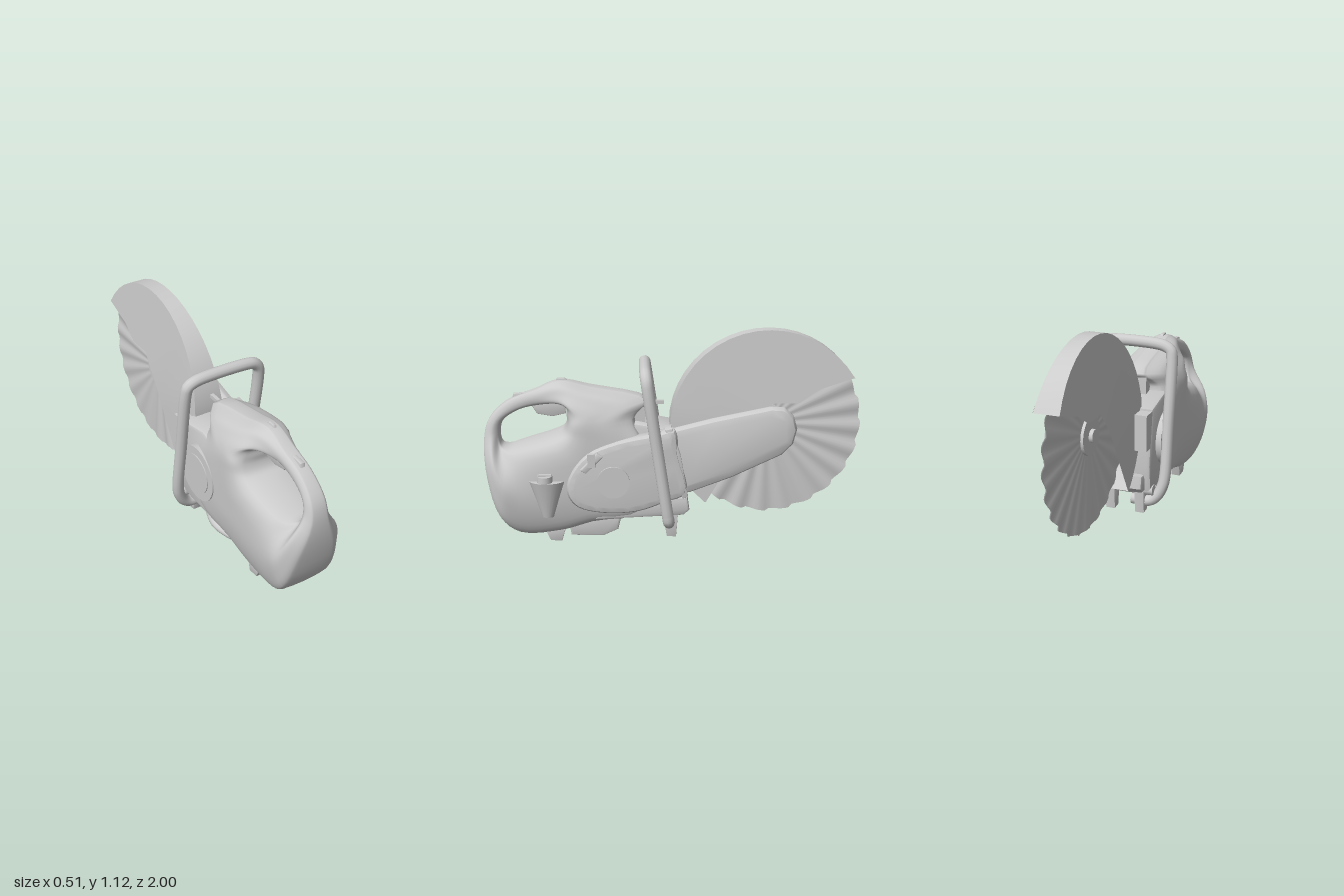
import * as THREE from 'three';
import { toCreasedNormals } from 'three/addons/utils/BufferGeometryUtils.js';

const grey = new THREE.MeshStandardMaterial({ color: 0xcccccc });
const greyThin = new THREE.MeshStandardMaterial({ color: 0xcccccc, side: THREE.DoubleSide });
const V = (x, y, z) => new THREE.Vector3(x, y, z);
const CX = -0.01; // centre plane of body and blade

// Skin a list of cross-sections
function loft(rings, closedI, closedJ) {
  const n = rings.length, m = rings[0].length, idx = [];
  for (let i = 0; i < (closedI ? n : n - 1); i++)
    for (let j = 0; j < (closedJ ? m : m - 1); j++) {
      const i2 = (i + 1) % n, j2 = (j + 1) % m;
      const a = i * m + j, b = i2 * m + j, c = i2 * m + j2, d = i * m + j2;
      idx.push(a, b, d, b, c, d);
    }
  const g = new THREE.BufferGeometry().setFromPoints(rings.flat());
  g.setIndex(idx);
  g.computeVertexNormals();
  return g;
}

// Extrude a [z, y] outline sideways from x0 to x1
function sidePlate(pts, x0, x1, bevel = 0.01, inset = bevel) {
  const shape = new THREE.Shape(pts.map(([z, y]) => new THREE.Vector2(-z, y)));
  const g = new THREE.ExtrudeGeometry(shape, {
    depth: x1 - x0 - 2 * bevel, bevelThickness: bevel, bevelSize: inset,
    bevelOffset: -inset, bevelSegments: 2,
  });
  g.rotateY(Math.PI / 2).translate(x0 + bevel, 0, 0);
  return toCreasedNormals(g, 0.6);
}

// Closed smooth outline through a few [z, y] points
function smooth(pts, n = 48) {
  const c = new THREE.CatmullRomCurve3(pts.map(([z, y]) => V(0, y, z)), true);
  return c.getPoints(n).slice(0, -1).map(p => [p.z, p.y]);
}

// Housing: a sleeve around the grip opening.
// Each station: hole z, y, outer z, y, half-widths at hole, middle and outer edge
function housingGeometry() {
  const stations = [
    [0.92, 0.58, 1.0, 0.55, 0.05, 0.07, 0.05],
    [0.90, 0.65, 0.97, 0.66, 0.045, 0.055, 0.04],
    [0.81, 0.71, 0.87, 0.755, 0.045, 0.05, 0.035],
    [0.70, 0.735, 0.73, 0.81, 0.05, 0.055, 0.035],
    [0.60, 0.745, 0.60, 0.86, 0.10, 0.09, 0.035],
    [0.56, 0.73, 0.44, 0.83, 0.14, 0.125, 0.045],
    [0.55, 0.69, 0.14, 0.755, 0.165, 0.15, 0.06],
    [0.55, 0.65, 0.21, 0.67, 0.175, 0.175, 0.12],
    [0.57, 0.60, 0.14, 0.50, 0.175, 0.18, 0.16],
    [0.62, 0.57, 0.16, 0.17, 0.175, 0.18, 0.15],
    [0.68, 0.55, 0.43, 0.11, 0.17, 0.182, 0.14],
    [0.75, 0.53, 0.60, 0.06, 0.165, 0.182, 0.13],
    [0.82, 0.51, 0.82, 0.05, 0.15, 0.182, 0.125],
    [0.87, 0.50, 0.92, 0.14, 0.12, 0.18, 0.14],
    [0.91, 0.52, 0.985, 0.35, 0.07, 0.145, 0.11],
  ];
  const sections = stations.map(([hz, hy, oz, oy, wi, wm, wo]) => {
    const at = (t, w) => V(CX + w, hy + (oy - hy) * t, hz + (oz - hz) * t);
    const side = [[0, wi * 0.7], [0.12, wi], [0.45, wm], [0.75, wm * 0.7 + wo * 0.3], [0.96, wo], [1, wo * 0.75]];
    const loop = [...side.map(([t, w]) => at(t, w)), ...side.reverse().map(([t, w]) => at(t, -w))];
    return new THREE.CatmullRomCurve3(loop, true).getPoints(48).slice(0, -1);
  });
  const rails = sections[0].map((_, j) =>
    new THREE.CatmullRomCurve3(sections.map(s => s[j]), true));
  const n = 60;
  const rings = [];
  for (let i = 0; i < n; i++) rings.push(rails.map(r => r.getPoint(i / n)));
  return loft(rings, true, true);
}

// Cutting disc with radial ripples and a notched rim
function discGeometry() {
  const rings = [], teeth = 24, steps = teeth * 6;
  for (let i = 0; i < steps; i++) {
    const a = (i / steps) * Math.PI * 2;
    const wave = 0.007 * Math.sin(a * teeth);
    const R = 0.5 - 0.012 * ((i % 6) / 5);
    const at = (r, x) => V(CX + x, 0.62 + r * Math.sin(a), -0.5 + r * Math.cos(a));
    rings.push([at(0.02, 0.005), at(0.12, 0.005), at(R, wave + 0.004),
      at(R, wave - 0.004), at(0.12, -0.005), at(0.02, -0.005)]);
  }
  return loft(rings, true, true);
}

// Hollow wheel guard: two cheeks joined by a rim, open below
function guardGeometry() {
  const path = new THREE.CurvePath();
  const edge = [[-0.95, 0.87], [-0.76, 0.81], [-0.66, 0.74], [-0.52, 0.74], [-0.42, 0.62], [-0.17, 0.2]];
  for (let i = 0; i < edge.length - 1; i++)
    path.add(new THREE.LineCurve3(V(0, edge[i][1], edge[i][0]), V(0, edge[i + 1][1], edge[i + 1][0])));
  const rings = [], n = 24;
  for (let i = 0; i <= n; i++) {
    const a = THREE.MathUtils.lerp(Math.PI - 0.54, -0.87, i / n);
    const outer = V(0, 0.6 + 0.522 * Math.sin(a), -0.5 + 0.522 * Math.cos(a));
    const inner = path.getPoint(i / n);
    const put = (p, s) => {
      const w = Math.min(0.083, 0.044 + 0.085 * Math.max(0, 1.12 - p.y));
      return V(CX + s * w, p.y, p.z);
    };
    const mid = inner.clone().lerp(outer, 0.6);
    rings.push([put(inner, -1), put(mid, -1), put(outer, -1), put(outer, 1), put(mid, 1), put(inner, 1)]);
  }
  return toCreasedNormals(loft(rings, false, false), 0.5);
}

export function createModel() {
  const model = new THREE.Group();
  const add = (name, geo, mat = grey) => {
    const m = new THREE.Mesh(geo, mat);
    m.name = name;
    model.add(m);
    return m;
  };
  const box = (name, x0, x1, y0, y1, z0, z1) =>
    add(name, new THREE.BoxGeometry(x1 - x0, y1 - y0, z1 - z0)
      .translate((x0 + x1) / 2, (y0 + y1) / 2, (z0 + z1) / 2));
  const axle = (name, r, x0, x1, y, z, sides = 32) =>
    add(name, new THREE.CylinderGeometry(r, r, x1 - x0, sides)
      .rotateZ(Math.PI / 2).translate((x0 + x1) / 2, y, z));
  const tube = (name, pts, r, n = 90, tension = 0.5) =>
    add(name, new THREE.TubeGeometry(new THREE.CatmullRomCurve3(pts, false, 'centripetal', tension), n, r, 12));

  add('housing', housingGeometry());

  // Engine block and base
  add('engineBlock', sidePlate([[0.45, 0.14], [-0.02, 0.15], [-0.04, 0.3], [0.0, 0.61], [0.2, 0.65], [0.45, 0.6]], -0.165, 0.11, 0.02));
  box('frontColumn', -0.07, 0.05, 0.58, 0.74, 0.15, 0.21);
  box('valveStem', -0.02, 0, 0.725, 0.745, 0.05, 0.16);
  axle('starterCover', 0.155, -0.195, -0.15, 0.4, 0.2);
  axle('starterHub', 0.11, -0.2, -0.18, 0.4, 0.2);
  add('baseBracket', sidePlate([[0.42, 0.13], [-0.05, 0.15], [-0.08, 0.18], [-0.07, 0.25], [0.4, 0.25]], -0.13, 0.14, 0.015));
  box('frontBracket', -0.16, -0.09, 0.4, 0.6, -0.08, 0.03);

  // Drive cover and cutting arm on the left side
  add('driveCover', sidePlate(smooth([[0.56, 0.29], [0.55, 0.38], [0.46, 0.5], [0.3, 0.57], [0.1, 0.61], [0.0, 0.63], [-0.02, 0.5],
    [-0.06, 0.29], [0.05, 0.24], [0.2, 0.19], [0.38, 0.185], [0.51, 0.22]]), 0.09, 0.2, 0.025, 0.035));
  add('cuttingArm', sidePlate([[0.04, 0.62], [-0.2, 0.68], [-0.5, 0.74], [-0.57, 0.735], [-0.62, 0.69], [-0.64, 0.62],
    [-0.62, 0.54], [-0.56, 0.48], [-0.3, 0.36], [-0.08, 0.28], [0.0, 0.27]], 0.085, 0.175, 0.04, 0.045));
  add('armSeam', sidePlate([[0.05, 0.635], [0.015, 0.64], [-0.03, 0.5], [-0.07, 0.27], [-0.04, 0.26], [0.0, 0.45]], 0.085, 0.19, 0.005));
  axle('clutchBoss', 0.085, 0.15, 0.213, 0.36, 0.32);
  add('tensionLever', sidePlate([[0.49, 0.43], [0.4, 0.52], [0.37, 0.5], [0.46, 0.41]], 0.17, 0.215, 0.006));
  box('leverTab', 0.207, 0.23, 0.45, 0.52, 0.41, 0.45);

  // Cutting disc, guard and flanges
  add('cuttingDisc', discGeometry());
  add('wheelGuard', guardGeometry(), greyThin);
  axle('discFlange', 0.1, -0.03, 0.015, 0.62, -0.5);
  axle('discSpindle', 0.035, -0.05, 0.12, 0.62, -0.5, 12);

  // Wraparound front handle, leaning with height
  const lean = (x, y) => V(x, y, 0.03 + (y - 0.12) * 0.148);
  tube('frontHandle', [
    [-0.04, 0.08], [-0.14, 0.08], [-0.18, 0.11], [-0.21, 0.17], [-0.22, 0.23], [-0.22, 0.5], [-0.218, 0.86], [-0.21, 0.9],
    [-0.18, 0.92], [-0.13, 0.93], [0.13, 0.93], [0.18, 0.92], [0.21, 0.89], [0.22, 0.84], [0.22, 0.5],
    [0.22, 0.18], [0.215, 0.145], [0.19, 0.13], [0.1, 0.13],
  ].map(([x, y]) => lean(x, y)), 0.031, 140);
  axle('handleMount', 0.03, -0.17, 0.13, 0.15, 0.01, 12);

  // Grip controls
  add('throttleTrigger', sidePlate([[0.75, 0.73], [0.72, 0.68], [0.64, 0.665], [0.57, 0.68], [0.57, 0.75]], -0.025, 0.005, 0.006));
  add('throttleLock', sidePlate([[0.85, 0.75], [0.84, 0.79], [0.72, 0.8], [0.69, 0.77], [0.8, 0.72]], -0.023, 0.005, 0.006));
  add('topSwitch', sidePlate([[0.62, 0.85], [0.61, 0.87], [0.57, 0.87], [0.54, 0.845]], -0.018, 0, 0.003));

  // Fuel filler neck and cap
  add('fillerNeck', new THREE.CylinderGeometry(0.095, 0.03, 0.2, 20).scale(0.75, 1, 1).translate(0.153, 0.26, 0.665));
  add('fuelCap', new THREE.CylinderGeometry(0.04, 0.04, 0.045, 16).translate(0.18, 0.37, 0.675));
  box('capGrip', 0.172, 0.192, 0.38, 0.4, 0.64, 0.71);

  // Underside: exhaust box, pipe and feet
  add('exhaustBox', sidePlate([[0.56, 0.1], [0.55, 0.03], [0.38, 0.025], [0.3, 0.06], [0.28, 0.14], [0.5, 0.15]], -0.06, 0.1, 0.012));
  tube('underPipe', [V(-0.12, 0.14, 0.2), V(-0.12, 0.08, 0.25), V(-0.1, 0.06, 0.34), V(-0.07, 0.07, 0.42), V(-0.04, 0.12, 0.46)], 0.022, 30);
  for (const x of [-0.095, 0.075]) {
    add('rearFoot', sidePlate([[0.69, 0.07], [0.66, 0.005], [0.6, 0], [0.58, 0.07]], x - 0.027, x + 0.027, 0.004));
    add('frontFoot', sidePlate([[0.06, 0.14], [0.04, 0.02], [-0.01, 0.015], [-0.02, 0.14]], x - 0.027, x + 0.027, 0.004));
  }
  box('footBar', -0.09, 0.07, 0.018, 0.04, 0.61, 0.65);
  return model;
}
